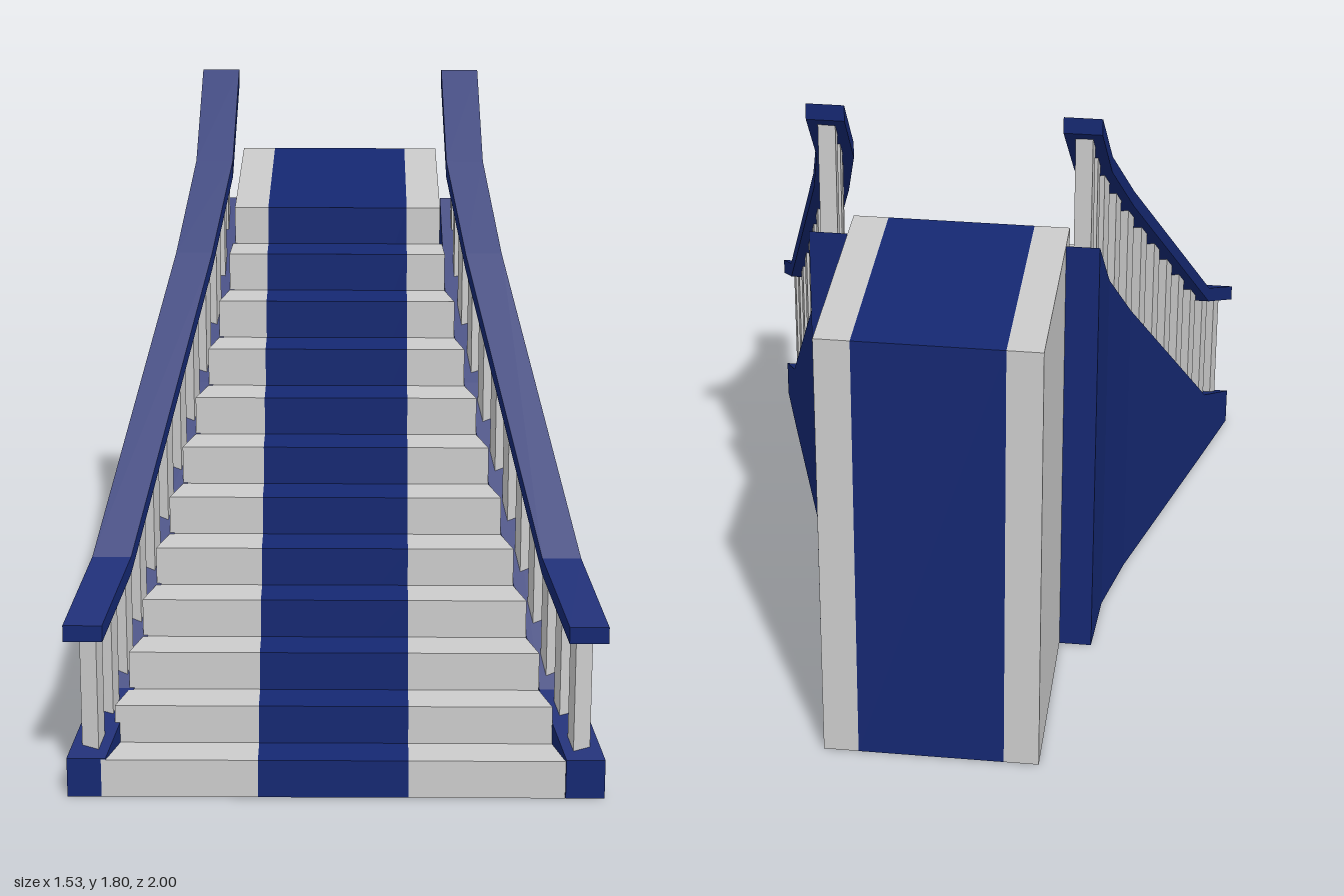
import * as THREE from 'three';

const grey = new THREE.MeshStandardMaterial({ color: 0xcccccc, flatShading: true });
const blue = new THREE.MeshStandardMaterial({ color: 0x152872, flatShading: true });

// Plan of one flank, back to front: z, inner x, outer x, height of the wall top
const STATIONS = [
  [-0.385, 0.312, 0.423, 1.39],
  [-0.155, 0.325, 0.436, 1.16],
  [0.07, 0.38, 0.488, 0.935],
  [0.77, 0.588, 0.699, 0.235],
  [1.0, 0.656, 0.767, 0.12],
];
const RAIL_BOTTOM = 0.36, RAIL_TOP = 0.41; // above the wall top
const STEPS = 12, RUN = 0.1155, RISE = 1.39 / STEPS;
const STAIR_X = -0.0075, CARPET = 0.2145;

// Linear interpolation along the stations (column 1 inner, 2 outer, 3 top)
function at(z, col) {
  let i = 0;
  while (i < STATIONS.length - 2 && z > STATIONS[i + 1][0]) i++;
  const a = STATIONS[i], b = STATIONS[i + 1];
  return a[col] + (b[col] - a[col]) * (z - a[0]) / (b[0] - a[0]);
}

// Solid through four-cornered loops, with both ends capped
function loft(loops) {
  const pos = [];
  const quad = (a, b, c, d) => pos.push(...a, ...b, ...c, ...a, ...c, ...d);
  for (let i = 0; i < loops.length - 1; i++) {
    for (let j = 0; j < 4; j++) {
      const k = (j + 1) % 4;
      quad(loops[i][j], loops[i][k], loops[i + 1][k], loops[i + 1][j]);
    }
  }
  const first = loops[0], last = loops[loops.length - 1];
  quad(first[3], first[2], first[1], first[0]);
  quad(last[0], last[1], last[2], last[3]);
  const geo = new THREE.BufferGeometry();
  geo.setAttribute('position', new THREE.Float32BufferAttribute(pos, 3));
  geo.computeVertexNormals();
  return geo;
}

// Mirror a loop to the chosen side, keeping its faces outward
function onSide(s, loop) {
  const out = loop.map(([x, y, z]) => [s * x, y, z]);
  return s < 0 ? out.reverse() : out;
}

function add(parent, name, geo, material) {
  const mesh = new THREE.Mesh(geo, material);
  mesh.name = name;
  parent.add(mesh);
  return mesh;
}

// Beam following the flank between two heights
function flankBeam(s, bottom, top) {
  return loft(STATIONS.map(([z, xi, xo, h]) => onSide(s, [
    [xi, bottom(h), z], [xo, bottom(h), z], [xo, top(h), z], [xi, top(h), z],
  ])));
}

// Square post turned along the flank, its ends sloped to meet wall and rail
function baluster(s, z) {
  const mid = (q) => (at(q, 1) + at(q, 2)) / 2;
  const angle = Math.atan2(mid(z + 0.03) - mid(z - 0.03), 0.06);
  const r = 0.025, c = Math.cos(angle), n = Math.sin(angle);
  const plan = [[r, r], [r, -r], [-r, -r], [-r, r]].map(([u, v]) => [
    mid(z) + u * c + v * n, z - u * n + v * c,
  ]);
  const ring = (lift) => onSide(s, plan.map(([x, q]) => [x, at(q, 3) + lift, q]));
  return loft([ring(-0.01), ring(RAIL_BOTTOM + 0.01)]);
}

export function createModel() {
  const model = new THREE.Group();
  model.name = 'staircase';

  // Steps: a carpeted middle between two grey ends; the last one is the landing
  const stairs = new THREE.Group();
  stairs.name = 'steps';
  stairs.position.x = STAIR_X;
  model.add(stairs);
  for (let i = 0; i < STEPS; i++) {
    const landing = i === STEPS - 1;
    const front = 1 - i * RUN, back = landing ? -1 : front - RUN;
    const top = (i + 1) * RISE;
    const wFront = landing ? 0.3175 : at(front, 1) + 0.006;
    const wBack = landing ? 0.3175 : at(back, 1) + 0.006;

    const carpet = new THREE.BoxGeometry(CARPET * 2, top, front - back);
    carpet.translate(0, top / 2, (front + back) / 2);
    add(stairs, landing ? 'landingCarpet' : 'stepCarpet', carpet, blue);

    for (const s of [1, -1]) {
      const ring = (y) => onSide(s, [
        [wFront, y, front], [wBack, y, back], [CARPET, y, back], [CARPET, y, front],
      ]);
      add(stairs, landing ? 'landingSide' : 'stepSide', loft([ring(0), ring(top)]), grey);
    }
  }

  // Flanks: side wall, handrail and balusters
  for (const s of [1, -1]) {
    const flank = new THREE.Group();
    flank.name = s > 0 ? 'leftFlank' : 'rightFlank';
    model.add(flank);
    add(flank, 'sideWall', flankBeam(s, () => 0, (h) => h), blue);
    add(flank, 'handrail', flankBeam(s, (h) => h + RAIL_BOTTOM, (h) => h + RAIL_TOP), blue);
    for (let i = 0; i < STEPS; i++) {
      add(flank, 'baluster', baluster(s, 0.94 - i * RUN), grey);
    }
  }
  return model;
}
